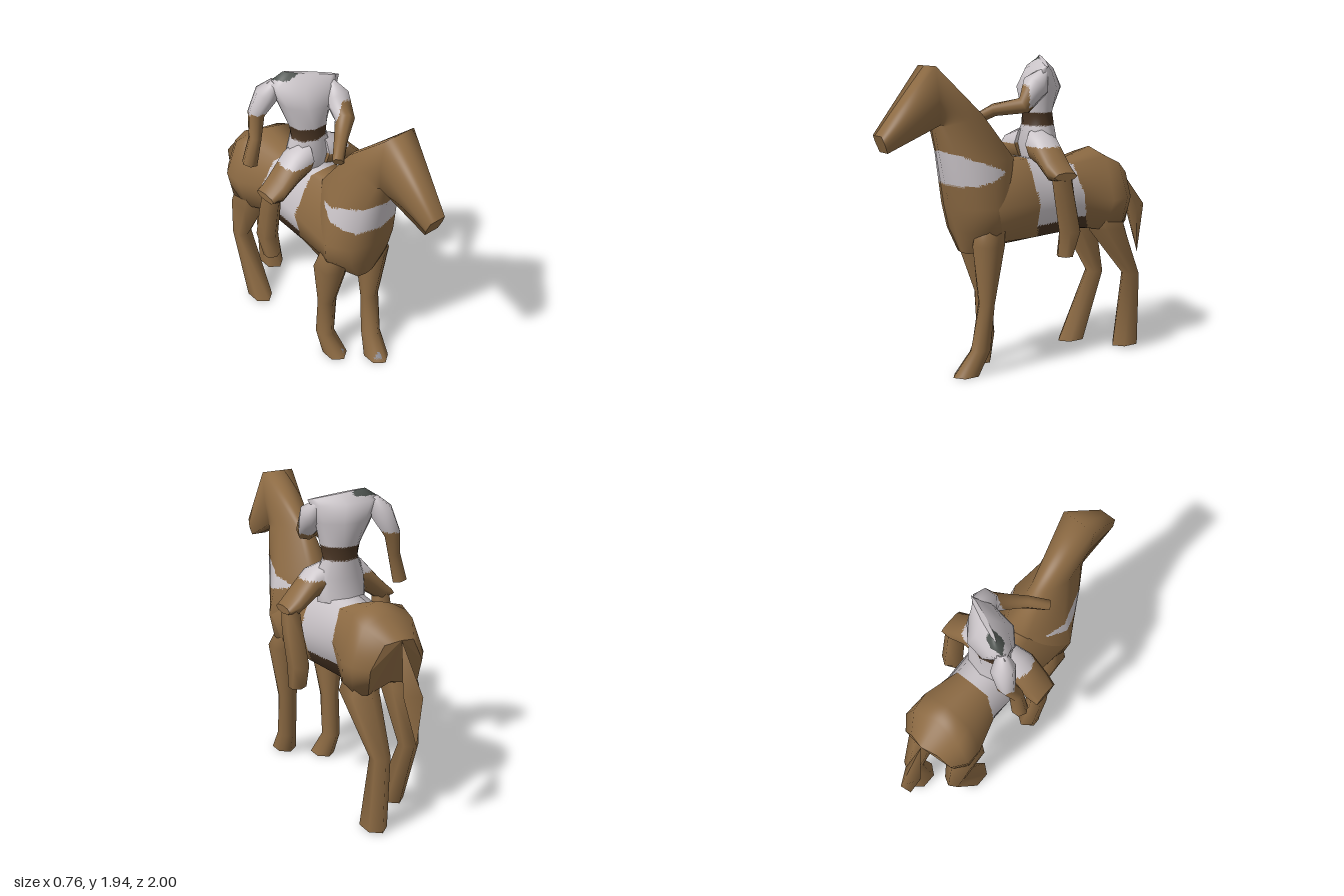
import * as THREE from 'three';

const mat = (name, color) => Object.assign(new THREE.MeshStandardMaterial({ color }), { name });
const brown = mat('chestnut brown', 0x8c6a43);
const white = mat('pale cloth', 0xcac4c8);
const dark = mat('dark leather', 0x483423);
const charcoal = mat('charcoal', 0x4c524e);
const grey = mat('hoof grey', 0x8f8f98);

const V = (x, y, z) => new THREE.Vector3(x, y, z);

// Skins closed cross-sections; each cell is divided n times so pick(p) can colour it by position.
function loft(name, rings, pick = () => brown, n = 1) {
  const m = rings[0].length, flat = rings.flat(), tris = [], caps = [];
  for (let i = 0; i < rings.length - 1; i++) {
    for (let j = 0; j < m; j++) {
      const a = i * m + j, b = i * m + (j + 1) % m;
      tris.push([a, b, b + m], [a, b + m, a + m]);
    }
  }
  const last = (rings.length - 1) * m;
  for (let j = 1; j < m - 1; j++) caps.push([0, j + 1, j], [last, last + j, last + j + 1]);
  const volume = [...tris, ...caps].reduce((s, [a, b, c]) =>
    s + flat[a].dot(flat[b].clone().cross(flat[c])), 0);
  const flip = volume < 0;

  // Smooth normals of the coarse skin
  const coarse = new THREE.BufferGeometry().setFromPoints(flat);
  coarse.setIndex(tris.flatMap(([a, b, c]) => flip ? [a, c, b] : [a, b, c]));
  coarse.computeVertexNormals();
  const normals = flat.map((_, i) => V().fromBufferAttribute(coarse.attributes.normal, i));

  const buckets = new Map();
  const add = (p, q) => {
    const centre = V().add(p[0]).add(p[1]).add(p[2]).divideScalar(3);
    const material = pick(centre);
    if (!buckets.has(material)) buckets.set(material, { pos: [], nor: [] });
    const bucket = buckets.get(material);
    for (const k of flip ? [0, 2, 1] : [0, 1, 2]) {
      bucket.pos.push(...p[k].toArray());
      bucket.nor.push(...q[k].toArray());
    }
  };
  const blend = (list, a, b, c, d, u, v) =>
    list[a].clone().lerp(list[b], u).lerp(list[d].clone().lerp(list[c], u), v);
  for (let i = 0; i < rings.length - 1; i++) {
    for (let j = 0; j < m; j++) {
      const a = i * m + j, b = i * m + (j + 1) % m;
      for (let s = 0; s < n; s++) for (let t = 0; t < n; t++) {
        const uv = [[s, t], [s + 1, t], [s + 1, t + 1], [s, t + 1]];
        const p = uv.map(([u, v]) => blend(flat, a, b, b + m, a + m, u / n, v / n));
        const q = uv.map(([u, v]) => blend(normals, a, b, b + m, a + m, u / n, v / n).normalize());
        add([p[0], p[1], p[2]], [q[0], q[1], q[2]]);
        add([p[0], p[2], p[3]], [q[0], q[2], q[3]]);
      }
    }
  }
  for (const cap of caps) {
    const p = cap.map(k => flat[k]);
    const nor = p[1].clone().sub(p[0]).cross(p[2].clone().sub(p[0])).normalize();
    if (flip) nor.negate();
    add(p, [nor, nor, nor]);
  }

  const group = new THREE.Group();
  group.name = name;
  for (const [material, { pos, nor }] of buckets) {
    const g = new THREE.BufferGeometry();
    g.setAttribute('position', new THREE.Float32BufferAttribute(pos, 3));
    g.setAttribute('normal', new THREE.Float32BufferAttribute(nor, 3));
    const mesh = new THREE.Mesh(g, material);
    mesh.name = `${name} ${material.name}`;
    group.add(mesh);
  }
  return group;
}

// Completes a half cross-section by mirroring it across x = 0
const mirrorRing = half => [
  ...half.map(p => V(...p)),
  ...half.slice(1, -1).reverse().map(([x, y, z]) => V(-x, y, z)),
];

const circle = (sides, f) => Array.from({ length: sides }, (_, k) => {
  const a = k / sides * Math.PI * 2;
  return f(Math.cos(a), Math.sin(a));
});

// Upright leg from level sections: [x, y, zFront, zBack, half width]
const leg = (name, sections, pick, n) => loft(name, sections.map(([x, y, zf, zb, rx]) =>
  circle(6, (c, s) => V(x + s * rx * 1.15, y, (zf + zb) / 2 + c * (zf - zb) / 2))), pick, n);

// Arm along a bent path: [x, y, z, radius]
function arm(name, path, pick) {
  const pts = path.map(p => V(p[0], p[1], p[2]));
  return loft(name, path.map((p, i) => {
    const dir = pts[Math.min(i + 1, pts.length - 1)].clone().sub(pts[Math.max(i - 1, 0)]).normalize();
    const u = dir.clone().cross(V(0, 0, 1)).normalize(), w = dir.clone().cross(u);
    return circle(6, (c, s) => pts[i].clone().addScaledVector(u, c * p[3]).addScaledVector(w, s * p[3]));
  }), pick, 8);
}

export function createModel() {
  const model = new THREE.Group();
  model.name = 'horse and rider';
  const horse = new THREE.Group(), rider = new THREE.Group();
  horse.name = 'horse';
  rider.name = 'rider';
  model.add(horse, rider);

  // Chest, neck and head with a pale chest band
  horse.add(loft('foreBody', [
    [[0, .76, .2], [.06, .76, .22], [.11, .77, .32], [.06, .76, .44], [0, .76, .45]],
    [[0, .9, .14], [.17, .9, .2], [.225, .9, .33], [.14, .9, .47], [0, .9, .49]],
    [[0, 1.05, .1], [.18, 1.05, .15], [.25, 1.05, .35], [.17, 1.05, .49], [0, 1.05, .53]],
    [[0, 1.33, .1], [.08, 1.33, .12], [.19, 1.33, .34], [.14, 1.38, .55], [0, 1.39, .6]],
    [[0, 1.6, .31], [.05, 1.6, .32], [.1, 1.57, .46], [.1, 1.55, .61], [0, 1.55, .63]],
    [[0, 1.9, .67], [.108, 1.9, .67], [.11, 1.72, .65], [.09, 1.56, .63], [0, 1.55, .63]],
    [[0, 1.51, 1], [.055, 1.51, 1], [.06, 1.46, .98], [.05, 1.41, .96], [0, 1.41, .96]],
  ].map(mirrorRing), ({ y, z }) => z > .22 && z < .62 && y > 1.19
    && y > 1.25 - (z - .22) * .28 && y < 1.26 + (z - .22) * .36 ? white : brown, 18));

  // Barrel and hindquarters with the saddle cloth
  horse.add(loft('barrel', [
    [[0, 1.19, -.78], [.1, 1.17, -.755], [.18, 1.02, -.735], [.17, .86, -.7], [0, .9, -.68]],
    [[0, 1.29, -.62], [.17, 1.25, -.64], [.25, 1.03, -.65], [.225, .84, -.62], [0, .85, -.58]],
    [[0, 1.35, -.52], [.17, 1.3, -.53], [.25, 1.02, -.54], [.215, .83, -.5], [0, .83, -.48]],
    [[0, 1.27, -.3], [.12, 1.26, -.3], [.19, 1.08, -.32], [.15, .85, -.36], [0, .81, -.38]],
    [[0, 1.32, .02], [.1, 1.32, .02], [.21, 1.06, .02], [.15, .83, .02], [0, .785, .02]],
    [[0, 1.33, .2], [.08, 1.3, .25], [.245, 1.05, .34], [.2, .84, .33], [0, .77, .3]],
  ].map(mirrorRing), ({ y, z }) => {
    const front = .03 - (1.3 - y) * .09, back = -.3 - (1.28 - y) * .21;
    if (z > front || z < back || y < .83) return brown;
    return y < .9 - z * .07 ? dark : white;
  }, 18));

  // Horse legs in mid stride
  const hoofMark = ({ x, y, z }) =>
    y > .03 && y < .065 && Math.abs(x) < .085 && z > (x > 0 ? .51 : .32) ? grey : brown;
  horse.add(
    leg('leftForeleg', [[.125, .93, .42, .2, .07], [.14, .82, .455, .23, .095], [.125, .45, .4, .3, .055],
      [.115, .16, .46, .31, .05], [.09, .005, .57, .38, .065]], hoofMark, 10),
    leg('rightForeleg', [[-.125, .93, .4, .2, .07], [-.14, .8, .4, .16, .095], [-.125, .46, .28, .165, .055],
      [-.125, .17, .27, .135, .05], [-.1, .005, .37, .18, .065]], hoofMark, 10),
    leg('leftHindLeg', [[.12, 1, -.46, -.68, .07], [.145, .83, -.42, -.71, .095],
      [.135, .49, -.72, -.84, .055], [.145, .012, -.63, -.84, .065]]),
    leg('rightHindLeg', [[-.12, 1, -.46, -.66, .07], [-.145, .81, -.42, -.7, .095],
      [-.135, .47, -.62, -.745, .055], [-.14, .012, -.39, -.6, .065]]),
  );

  // Tail
  horse.add(loft('tail', [
    circle(4, () => V(0, 1.19, -.78)),
    [V(.06, .9, -.89), V(0, .9, -.862), V(-.06, .9, -.89), V(0, .92, -1)],
    circle(4, () => V(0, .59, -.95)),
  ]));

  // Rider's trunk, twisting upward: [x, y, z, half width, half depth, yaw, shoulder slope]
  rider.add(loft('torso', [
    [0, 1.26, -.13, .17, .1, 0, 0],
    [0, 1.4, -.1, .18, .11, 0, 0],
    [0, 1.52, -.115, .115, .1, .1, 0],
    [0, 1.6, -.11, .125, .1, .3, 0],
    [-.01, 1.75, -.13, .17, .14, .5, .05],
    [-.02, 1.86, -.14, .21, .09, .5, .1],
    [.04, 1.91, -.13, .17, .015, .45, .19],
  ].map(([x, y, z, rx, rz, yaw, slope]) => circle(8, (c, s) => V(
    x + c * rx * Math.cos(yaw) - s * rz * Math.sin(yaw),
    y - c * rx * slope,
    z + c * rx * Math.sin(yaw) + s * rz * Math.cos(yaw)))),
  ({ x, y, z }) => {
    if (y > 1.515 && y < 1.595) return dark;
    return y > 1.9 && z < -.15 && x < -.04 ? charcoal : white;
  }, 10));

  // Arms: one reaches across for the reins, the other hangs back
  rider.add(
    arm('leftArm', [[.13, 1.85, -.07, .03], [.135, 1.77, -.01, .085], [.13, 1.65, .075, .06],
      [-.01, 1.62, .2, .04], [-.1, 1.555, .285, .035]],
    ({ y, z }) => z < .07 && y > 1.64 ? white : brown),
    arm('rightArm', [[-.16, 1.885, -.22, .03], [-.2, 1.8, -.255, .075], [-.255, 1.67, -.29, .055],
      [-.295, 1.53, -.255, .042], [-.335, 1.355, -.265, .05]],
    ({ y }) => y > 1.68 ? white : brown),
  );

  // Rider's legs astride the barrel
  for (const [side, name] of [[1, 'left'], [-1, 'right']]) {
    rider.add(loft(`${name}Thigh`, [
      [.06, 1.4, -.08, .11, .1], [.18, 1.365, -.06, .1, .105], [.3, 1.26, -.06, .075, .1],
      [.375, 1.23, -.065, .025, .085],
    ].map(([x, y, z, ry, rz]) => circle(8, (c, s) => V(side * x, y + s * ry, z + c * rz))),
    ({ x, y }) => y > 1.395 && Math.abs(x) < .24 ? white : brown, 8));
    rider.add(leg(`${name}Shin`, [[.325, 1.25, .01, -.14, .04], [.325, 1.1, -.015, -.165, .052],
      [.315, .88, -.06, -.22, .055], [.305, .725, -.06, -.16, .05]].map(([x, ...r]) => [side * x, ...r])));
  }
  return model;
}
